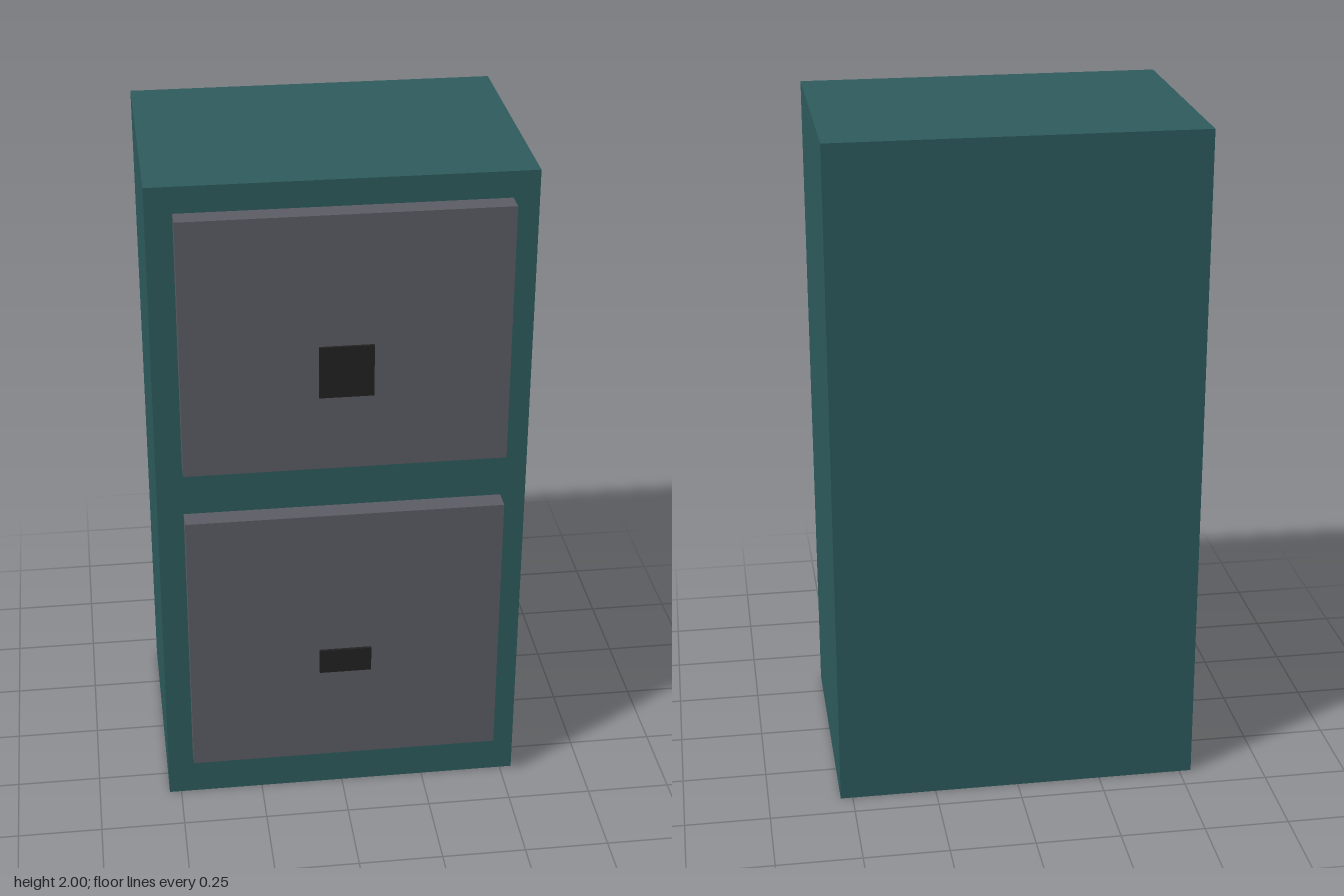
import * as THREE from 'three';

function material(name, color, side = THREE.FrontSide) {
  const m = new THREE.MeshStandardMaterial({ color, side });
  m.name = name;
  return m;
}

// Box given by its lower and upper limits on each axis
function box(name, mat, [x0, x1], [y0, y1], [z0, z1]) {
  const mesh = new THREE.Mesh(new THREE.BoxGeometry(x1 - x0, y1 - y0, z1 - z0), mat);
  mesh.position.set((x0 + x1) / 2, (y0 + y1) / 2, (z0 + z1) / 2);
  mesh.name = name;
  return mesh;
}

export function createModel() {
  const teal = material('teal cabinet', 0x2e5c5e, THREE.DoubleSide);
  const grey = material('grey panel', 0x5c5d65);
  const black = material('black handle', 0x222222);

  const model = new THREE.Group();
  model.name = 'cabinet';

  // Hollow shell, open underneath: drop the bottom face of the box
  const body = box('body', teal, [-0.536, 0.536], [0, 2], [-0.423, 0.345]);
  const index = Array.from(body.geometry.index.array);
  index.splice(18, 6);
  body.geometry.setIndex(index);
  body.geometry.clearGroups();
  model.add(body);

  // Two drawer fronts, each with a handle block passing through it
  const drawers = [
    { name: 'upperDrawer', panel: [1.157, 1.927], handle: [1.385, 1.54] },
    { name: 'lowerDrawer', panel: [0.157, 1.0], handle: [0.462, 0.54] },
  ];
  for (const { name, panel, handle } of drawers) {
    const drawer = new THREE.Group();
    drawer.name = name;
    drawer.add(
      box('drawerFront', grey, [-0.461, 0.461], panel, [0.354, 0.415]),
      box('handle', black, [-0.077, 0.077], handle, [0.345, 0.423]),
    );
    model.add(drawer);
  }
  return model;
}
